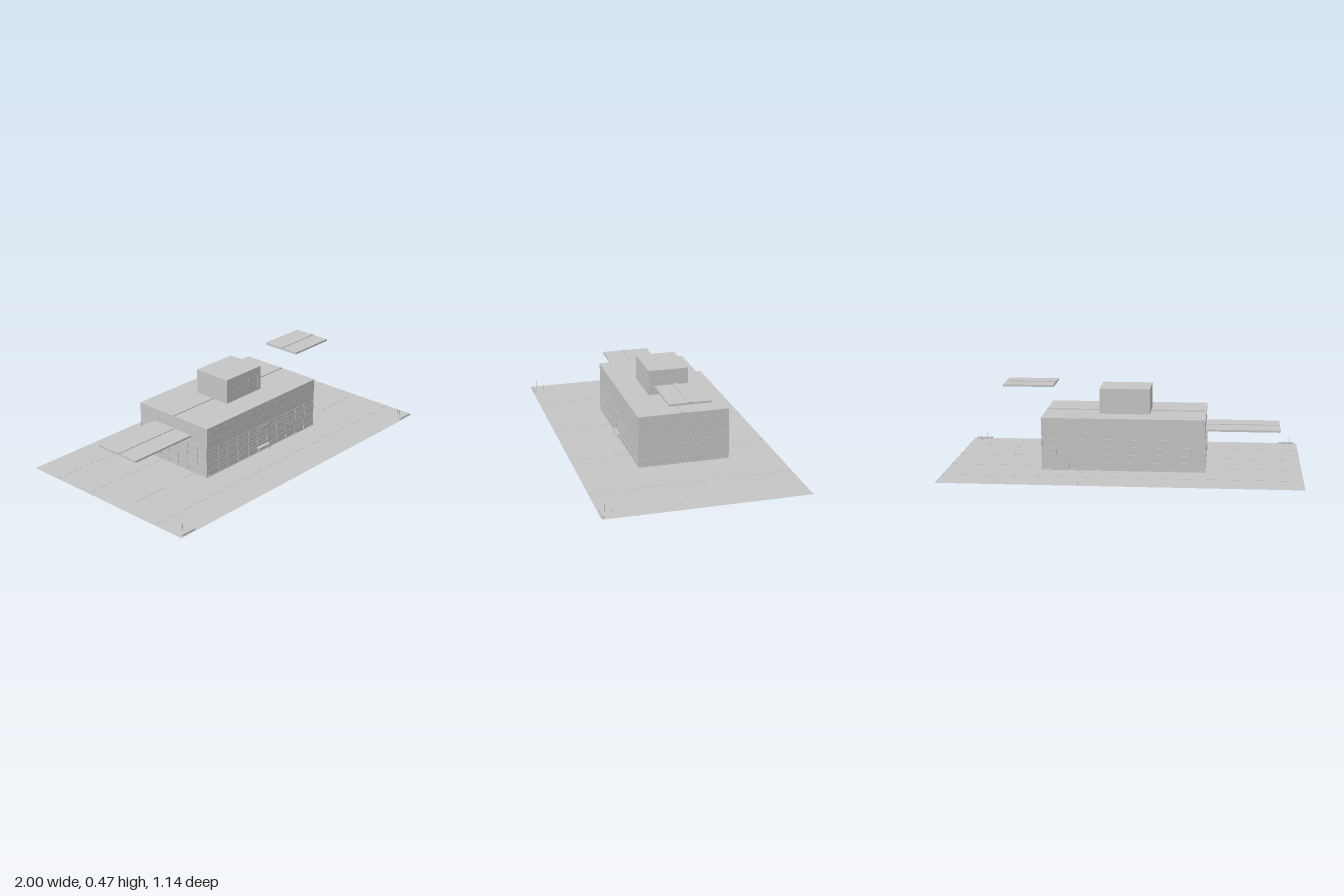
import * as THREE from 'three';

export function createModel() {
  const model = new THREE.Group();
  const concrete = new THREE.MeshStandardMaterial({ color: 0xc5c5c5, side: THREE.DoubleSide });
  concrete.name = 'light grey concrete';

  // Box given by its limits on each axis
  function box(name, x0, x1, y0, y1, z0, z1, parent = model) {
    const mesh = new THREE.Mesh(new THREE.BoxGeometry(x1 - x0, y1 - y0, z1 - z0), concrete);
    mesh.position.set((x0 + x1) / 2, (y0 + y1) / 2, (z0 + z1) / 2);
    mesh.name = name;
    parent.add(mesh);
  }
  function group(name) {
    const g = new THREE.Group();
    g.name = name;
    model.add(g);
    return g;
  }

  // Paved ground with thin joints
  const ground = new THREE.Mesh(new THREE.PlaneGeometry(2, 1.14), concrete);
  ground.rotation.x = -Math.PI / 2;
  ground.name = 'ground';
  model.add(ground);
  const joints = group('groundJoints');
  for (const x of [-0.68, -0.225, 0.225, 0.68])
    box('joint', x - 0.002, x + 0.002, 0, 0.001, -0.57, 0.57, joints);
  for (const z of [-0.38, -0.13, 0.125, 0.375])
    box('joint', -1, 1, 0, 0.001, z - 0.002, z + 0.002, joints);

  // Main block, roof edge and roof duct
  const X0 = -0.458, X1 = 0.455, Z0 = -0.279, Z1 = 0.236;
  box('mainBlock', X0, X1, 0.014, 0.306, Z0, Z1);
  box('roofSlab', X0 - 0.002, X1 + 0.002, 0.303, 0.31, Z0 - 0.002, Z1 + 0.002);
  box('roofDuct', X0, X1, 0.31, 0.315, -0.03, -0.01);

  // Bars around all four walls of a block
  function band(name, x0, x1, z0, z1, y, h, out, parent) {
    for (const z of [z0 - out, z1])
      box(name, x0 - out, x1 + out, y, y + h, z, z + out, parent);
    for (const x of [x0 - out, x1])
      box(name, x, x + out, y, y + h, z0, z1, parent);
  }
  const bands = group('wallBands');
  band('band', X0, X1, Z0, Z1, 0.281, 0.002, 0.001, bands);
  band('band', X0, X1, Z0, Z1, 0.23, 0.002, 0.001, bands);

  // Heavy window grid on the back and right walls
  const grid = group('windowGrid');
  for (const y of [0.014, 0.055, 0.098, 0.141, 0.184]) {
    box('rail', X0, X1, y, y + 0.008, Z0 - 0.003, Z0, grid);
    box('rail', X0 - 0.003, X0, y, y + 0.008, Z0, Z1, grid);
  }
  for (let i = 0; i <= 12; i++) {
    const x = X0 + 0.004 + (i / 12) * (X1 - X0 - 0.008);
    box('mullion', x - 0.004, x + 0.004, 0.014, 0.192, Z0 - 0.003, Z0, grid);
  }
  for (let i = 0; i <= 7; i++) {
    const z = Z0 + 0.004 + (i / 7) * (Z1 - Z0 - 0.008);
    box('mullion', X0 - 0.003, X0, 0.014, 0.192, z - 0.004, z + 0.004, grid);
  }

  // Slim window outlines on the front and left walls
  const outlines = group('windowOutlines');
  const t = 0.002;
  function outline(along, a, b, y0, y1) {
    for (const [u0, u1, v0, v1] of [
      [a, b, y0, y0 + t], [a, b, y1 - t, y1], [a, a + t, y0, y1], [b - t, b, y0, y1],
    ]) {
      if (along === 'x') box('windowOutline', u0, u1, v0, v1, Z1, Z1 + 0.002, outlines);
      else box('windowOutline', X1, X1 + 0.002, v0, v1, u0, u1, outlines);
    }
  }
  for (const y of [0.018, 0.062, 0.106, 0.15]) {
    for (let i = 0; i < 11; i++) {
      const x = X0 + 0.006 + i * 0.0822;
      outline('x', x, x + 0.078, y, y + 0.03);
    }
    for (let i = 0; i < 6; i++) {
      const z = Z0 + 0.008 + i * 0.084;
      outline('z', z, z + 0.08, y, y + 0.03);
    }
  }

  // Front sign panel and entrance canopy
  box('signPanel', -0.046, 0.04, 0.152, 0.178, 0.248, 0.252);
  box('entranceCanopy', -0.05, 0.046, 0.046, 0.05, Z1, 0.256);
  for (const x of [-0.048, 0.042])
    box('canopyPost', x, x + 0.003, 0.012, 0.046, 0.252, 0.255);

  // Rooftop tower
  const T = [-0.143, 0.142, -0.137, 0.093];
  box('tower', T[0], T[1], 0.31, 0.453, T[2], T[3]);
  const tower = group('towerTrim');
  band('towerBand', ...T, 0.364, 0.002, 0.001, tower);
  band('towerBand', ...T, 0.409, 0.002, 0.001, tower);
  for (const x of [-0.1, 0.04, 0.115])
    box('towerMullion', x - 0.002, x + 0.002, 0.33, 0.411, T[3], T[3] + 0.002, tower);

  // Side decks, each with a raised strip along the middle
  function deck(name, x0, x1, y0, y1, z0, z1, mid) {
    const g = group(name);
    box('deckSlab', x0, x1, y0, y1, z0, z1, g);
    box('deckStrip', x0, x1, y1, y1 + 0.004, mid - 0.011, mid + 0.011, g);
  }
  deck('rightDeck', -0.877, X0, 0.224, 0.235, -0.167, 0.117, -0.018);
  deck('leftDeck', 0.408, 0.697, 0.452, 0.463, -0.1, 0.132, 0.018);

  // Low kerbs with posts at the front corners
  for (const s of [-1, 1]) {
    const g = group(s < 0 ? 'rightCornerBarrier' : 'leftCornerBarrier');
    const c = s * 0.935;
    box('kerb', c - 0.047, c + 0.047, 0, 0.009, 0.55, 0.562, g);
    box('tallPost', c - 0.022, c - 0.019, 0, 0.05, 0.534, 0.537, g);
    box('shortPost', c + 0.008, c + 0.011, 0, 0.03, 0.498, 0.501, g);
  }
  return model;
}
